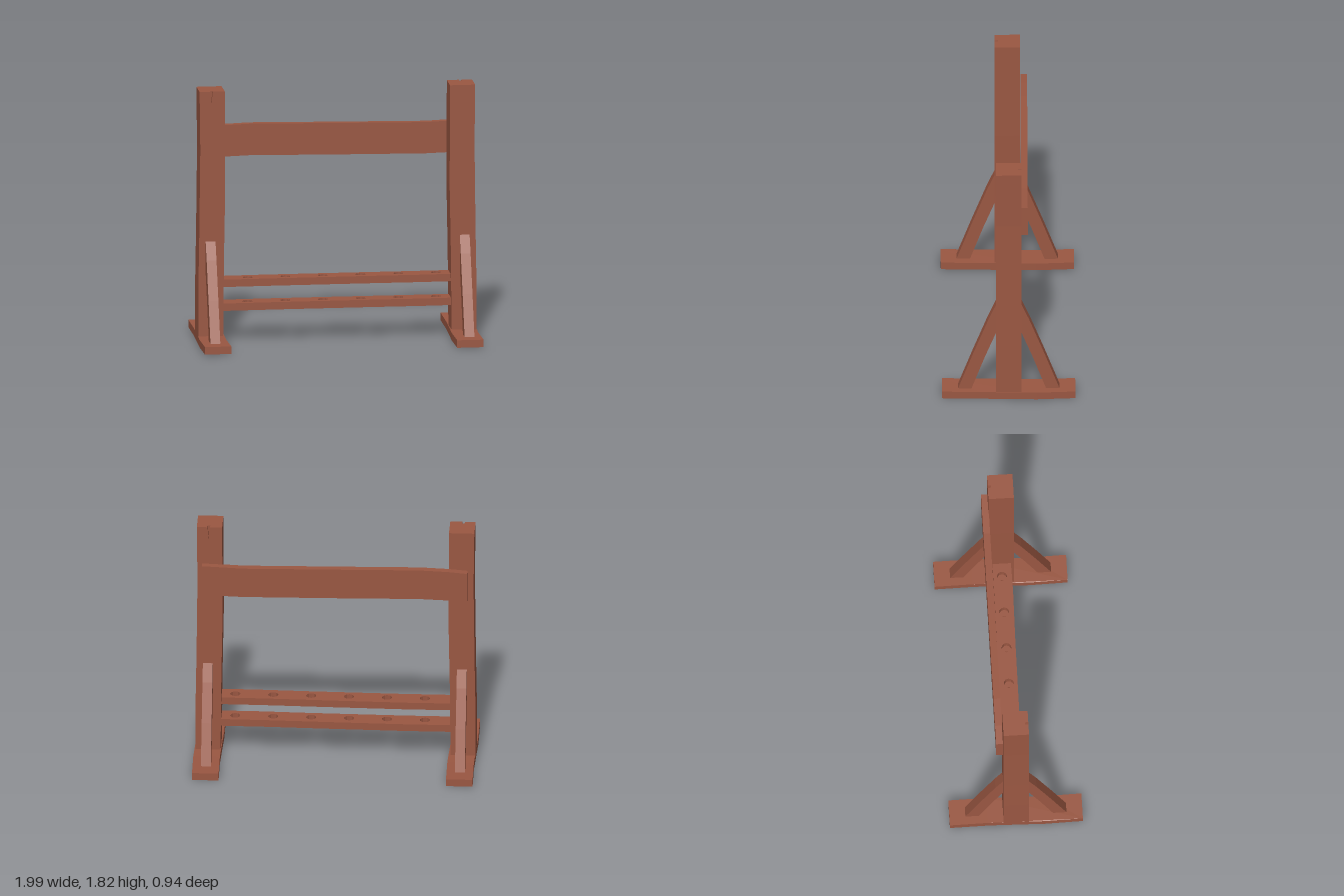
import * as THREE from 'three';

const wood = new THREE.MeshStandardMaterial({ color: 0x9a5742 });
wood.name = 'reddish wood';

const shapeOf = (pts) => new THREE.Shape(pts.map(([a, b]) => new THREE.Vector2(a, b)));
const slab = (shape, depth) =>
  new THREE.ExtrudeGeometry(shape, { depth, bevelEnabled: false, curveSegments: 6 });

function add(parent, name, geometry) {
  const mesh = new THREE.Mesh(geometry, wood);
  mesh.name = name;
  parent.add(mesh);
  return mesh;
}

// Square post, slightly bowed, with a wedge-shaped split at the top of one face
function makePost() {
  const post = new THREE.Group();
  const outer = [[-0.092, 0.05], [-0.092, 0.4], [-0.085, 0.8], [-0.078, 1.4], [-0.083, 1.82]];
  const inner = [[0.096, 1.82], [0.099, 1.1], [0.09, 0.6], [0.085, 0.05]];
  const split = [[-0.007, 1.82], [0.001, 1.725], [0.011, 1.82]];
  // points run clockwise; the extruder puts them in order
  add(post, 'postBody', slab(shapeOf([...outer, ...inner]), 0.155)).position.z = -0.09;
  add(post, 'postSplitFace', slab(shapeOf([...outer, ...split, ...inner]), 0.025)).position.z = 0.065;
  return post;
}

// Flat foot plank with a gentle sideways wave
function makeFoot() {
  const side = [[-0.47, 0.003], [-0.2, 0.008], [0, 0.003], [0.2, -0.003], [0.47, 0]];
  const edge = (dx) => side.map(([z, x]) => [x + dx, -z]);
  const geometry = slab(shapeOf([...edge(-0.094), ...edge(0.094).reverse()]), 0.054);
  geometry.rotateX(-Math.PI / 2);
  // ends lift a touch off the ground
  const p = geometry.attributes.position;
  for (let i = 0; i < p.count; i++) {
    if (Math.abs(p.getZ(i)) > 0.4) p.setY(i, p.getY(i) + 0.006);
  }
  geometry.computeVertexNormals();
  return geometry;
}

// Diagonal brace leaning on the post; outline is in z and y
function makeBrace() {
  const outline = [[0.08, 0.762], [0.145, 0.615], [0.25, 0.345], [0.36, 0.05],
    [0.265, 0.05], [0.17, 0.31], [0.08, 0.535]];
  const geometry = slab(shapeOf(outline), 0.07);
  geometry.translate(0, 0, -0.035);
  return geometry.rotateY(-Math.PI / 2);
}

// Rack rail with a row of six round holes
function makeRail() {
  const shape = shapeOf([[-0.85, -0.063], [-0.45, -0.06], [0.2, -0.065], [0.6, -0.072], [0.85, -0.068],
    [0.85, 0.062], [0.5, 0.062], [0, 0.069], [-0.5, 0.074], [-0.85, 0.07]]);
  for (let i = 0; i < 6; i++) {
    const hole = new THREE.Path();
    hole.absarc(-0.63 + i * 0.268, 0, 0.035, 0, Math.PI * 2, true);
    shape.holes.push(hole);
  }
  return slab(shape, 0.053).rotateX(-Math.PI / 2);
}

export function createModel() {
  const model = new THREE.Group();
  model.name = 'woodenStand';

  for (const [side, x] of [['right', -0.9], ['left', 0.895]]) {
    const post = makePost();
    post.name = side + 'Post';
    post.position.x = x;
    if (x > 0) post.rotation.y = Math.PI;
    model.add(post);

    add(model, side + 'Foot', makeFoot()).position.x = x;
    add(model, side + 'FrontBrace', makeBrace()).position.x = x + (x > 0 ? 0.008 : -0.005);
    const back = add(model, side + 'BackBrace', makeBrace());
    back.rotation.y = Math.PI;
    back.position.x = x + 0.005;
  }

  // Two drilled rails between the posts
  add(model, 'lowerRail', makeRail()).position.y = 0.23;
  add(model, 'upperRail', makeRail()).position.y = 0.402;

  // Wide plank fixed to the back of the posts
  const plank = add(model, 'backPlank', slab(shapeOf([
    [-0.935, 1.302], [-0.8, 1.31], [-0.6, 1.316], [0, 1.305], [0.65, 1.296], [0.8, 1.3], [0.94, 1.31],
    [0.94, 1.532], [0.8, 1.527], [0.65, 1.521], [0, 1.532], [-0.6, 1.543], [-0.8, 1.536], [-0.935, 1.525],
  ]), 0.048));
  plank.position.z = -0.137;
  plank.rotation.y = -0.003;

  return model;
}
